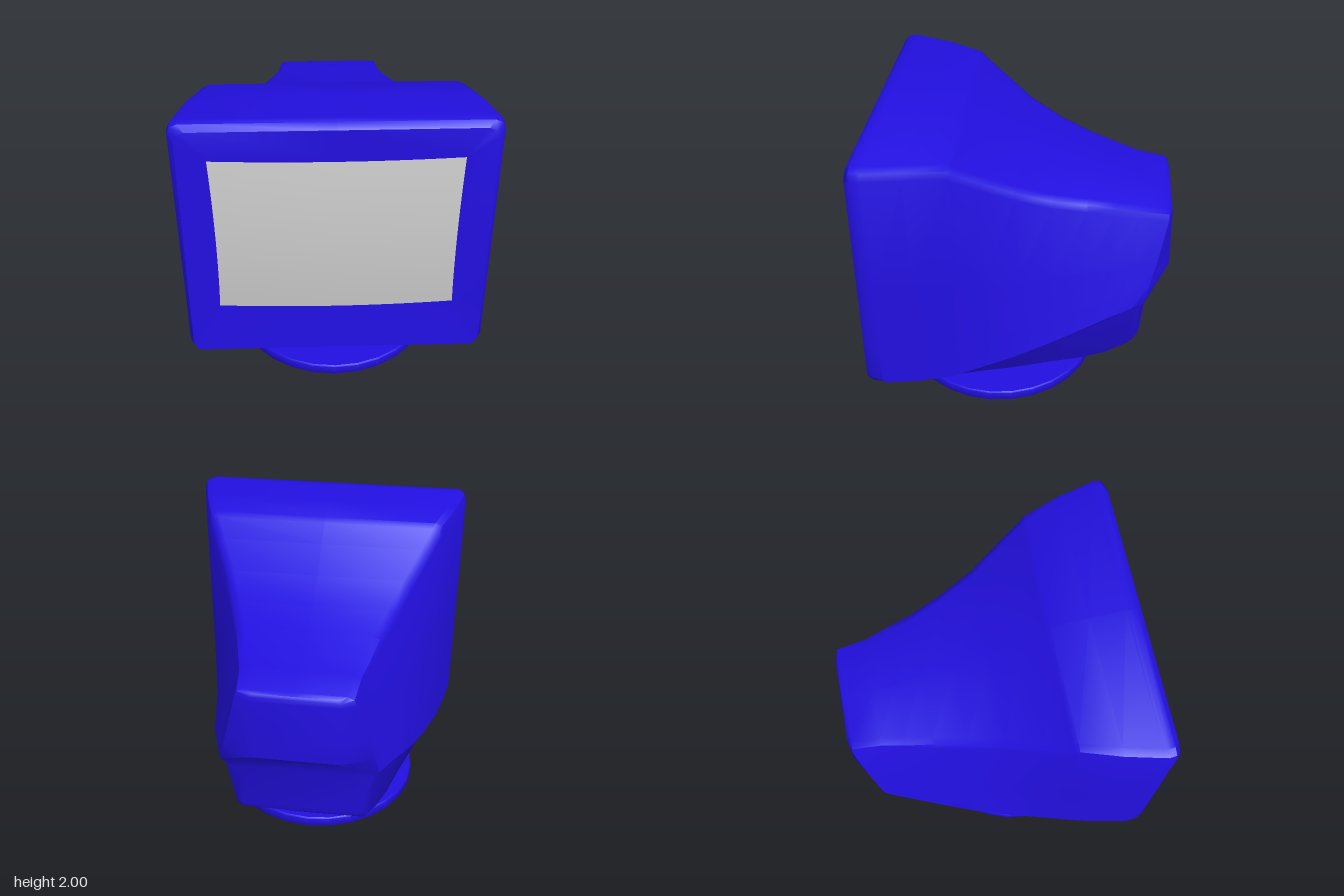
import * as THREE from 'three';
import { toCreasedNormals } from 'three/addons/utils/BufferGeometryUtils.js';

const lerp = THREE.MathUtils.lerp;
const HALF = 11, RING = 20;

// Half cross-section from top centre to bottom centre, softened at the corners.
// w/y pairs: top edge, side crease, underside edge; tilt leans the section forward at the bottom.
function section([z, wt, yt, wm, yc, wb, yb, tilt = 0]) {
  const side = (t) => [lerp(wt, wm, t), lerp(yt - 0.06, yc, t)];
  return [
    [0, yt], [wt - 0.06, yt], [wt - 0.015, yt - 0.02], side(0), side(0.5), side(0.82), side(1),
    [lerp(wm, wb, 0.4), lerp(yc, yb + 0.03, 0.15)], [wb, yb + 0.03], [wb - 0.03, yb], [0, yb],
  ].map(([x, y]) => [x, y, z + tilt * (1.2 - y)]);
}

// Skin over mirrored half-sections running front to back, closed at both ends.
function loft(halves) {
  const pos = [], index = [];
  for (const h of halves) {
    for (let i = 0; i < RING; i++) {
      const [x, y, z] = h[i < HALF ? i : RING - i];
      pos.push(i < HALF ? x : -x, y, z);
    }
  }
  for (let r = 0; r < halves.length - 1; r++) {
    for (let i = 0; i < RING; i++) {
      const j = (i + 1) % RING, a = r * RING + i, b = r * RING + j;
      index.push(a, b, a + RING, b, b + RING, a + RING);
    }
  }
  const last = (halves.length - 1) * RING;
  for (let i = 0; i < HALF - 1; i++) {
    const m = (RING - i) % RING, b = i + 1, n = RING - b;
    index.push(i, m, b, m, n, b);
    index.push(last + i, last + b, last + m, last + m, last + b, last + n);
  }
  const g = new THREE.BufferGeometry();
  g.setAttribute('position', new THREE.Float32BufferAttribute(pos, 3));
  g.setIndex(index);
  return toCreasedNormals(g, 0.75);
}

export function createModel() {
  const model = new THREE.Group();
  const blue = new THREE.MeshStandardMaterial({ color: 0x220fe0 });
  const grey = new THREE.MeshStandardMaterial({ color: 0xcccccc, side: THREE.DoubleSide });
  const add = (name, geometry, material) => {
    const mesh = new THREE.Mesh(geometry, material);
    mesh.name = name;
    model.add(mesh);
    return mesh;
  };

  // Housing: shallow dish behind the screen, bezel, tapering shell, stepped back
  const dish = [
    [0, 1.79], [0.715, 1.79], [0.72, 1.785], [0.72, 1.77], [0.72, 1.25], [0.72, 0.9],
    [0.72, 0.74], [0.72, 0.72], [0.72, 0.71], [0.71, 0.7], [0, 0.7],
  ].map(([x, y]) => [x, y, 0.918]);
  const shell = [
    [0.935, 0.89, 1.965, 0.905, 0.41, 0.895, 0.355, 0.018],
    [0.895, 0.925, 1.998, 0.93, 0.41, 0.918, 0.345, 0.01],
    [0.84, 0.93, 2.0, 0.935, 0.4, 0.92, 0.34],
    [0.82, 0.925, 1.998, 0.93, 0.37, 0.86, 0.295],
    [0.6, 0.87, 1.985, 0.885, 0.36, 0.82, 0.295],
    [0.37, 0.79, 1.957, 0.83, 0.375, 0.77, 0.295],
    [0.34, 0.775, 1.93, 0.82, 0.385, 0.76, 0.295],
    [0.2, 0.71, 1.84, 0.79, 0.43, 0.72, 0.295],
    [0, 0.61, 1.71, 0.75, 0.5, 0.67, 0.295],
    [-0.22, 0.53, 1.61, 0.7, 0.59, 0.6, 0.295],
    [-0.43, 0.46, 1.545, 0.635, 0.67, 0.54, 0.295],
    [-0.6, 0.42, 1.5, 0.58, 0.74, 0.48, 0.305],
    [-0.75, 0.38, 1.465, 0.53, 0.79, 0.43, 0.36],
  ].map(section);
  const backEdge = [
    [0, 1.432, -0.93], [0.3, 1.432, -0.93], [0.345, 1.42, -0.94], [0.36, 1.38, -0.94],
    [0.43, 1.1, -0.89], [0.475, 0.93, -0.85], [0.5, 0.81, -0.825], [0.47, 0.76, -0.81],
    [0.42, 0.44, -0.79], [0.39, 0.4, -0.79], [0, 0.4, -0.8],
  ];
  const backFace = [
    [0, 1.42, -0.955], [0.25, 1.42, -0.955], [0.265, 1.4, -0.963], [0.27, 1.37, -0.966],
    [0.27, 1.15, -0.974], [0.26, 0.97, -0.983], [0.31, 0.88, -0.9], [0.36, 0.78, -0.845],
    [0.38, 0.46, -0.82], [0.36, 0.425, -0.815], [0, 0.42, -0.815],
  ];
  add('housing', loft([dish, ...shell, backEdge, backFace]), blue);

  // Screen: bulging panel with slightly bowed-in sides
  const screen = new THREE.PlaneGeometry(2, 2, 16, 12);
  const p = screen.attributes.position;
  for (let i = 0; i < p.count; i++) {
    const u = p.getX(i), v = p.getY(i);
    const bulge = 0.025 * (1 - u * u) + 0.03 * (1 - v * v);
    p.setXYZ(i, u * (0.705 + 0.015 * v * v), 1.245 + 0.535 * v, 0.925 + bulge);
  }
  screen.computeVertexNormals();
  add('screen', screen, grey);

  // Stand: swivel bowl, collar and round foot
  const stand = {
    swivelBowl: [[0, 0.14], [0.42, 0.14], [0.44, 0.155], [0.53, 0.22], [0.57, 0.3], [0, 0.3]],
    collar: [[0, 0.07], [0.455, 0.07], [0.45, 0.09], [0.435, 0.135], [0.425, 0.147], [0, 0.147]],
    foot: [[0, 0], [0.68, 0], [0.685, 0.008], [0.685, 0.066], [0.677, 0.076], [0, 0.076]],
  };
  for (const [name, profile] of Object.entries(stand)) {
    const points = profile.map(([x, y]) => new THREE.Vector2(x, y));
    const g = toCreasedNormals(new THREE.LatheGeometry(points, 28), 0.7);
    add(name, g, blue).position.z = 0.175;
  }
  return model;
}
